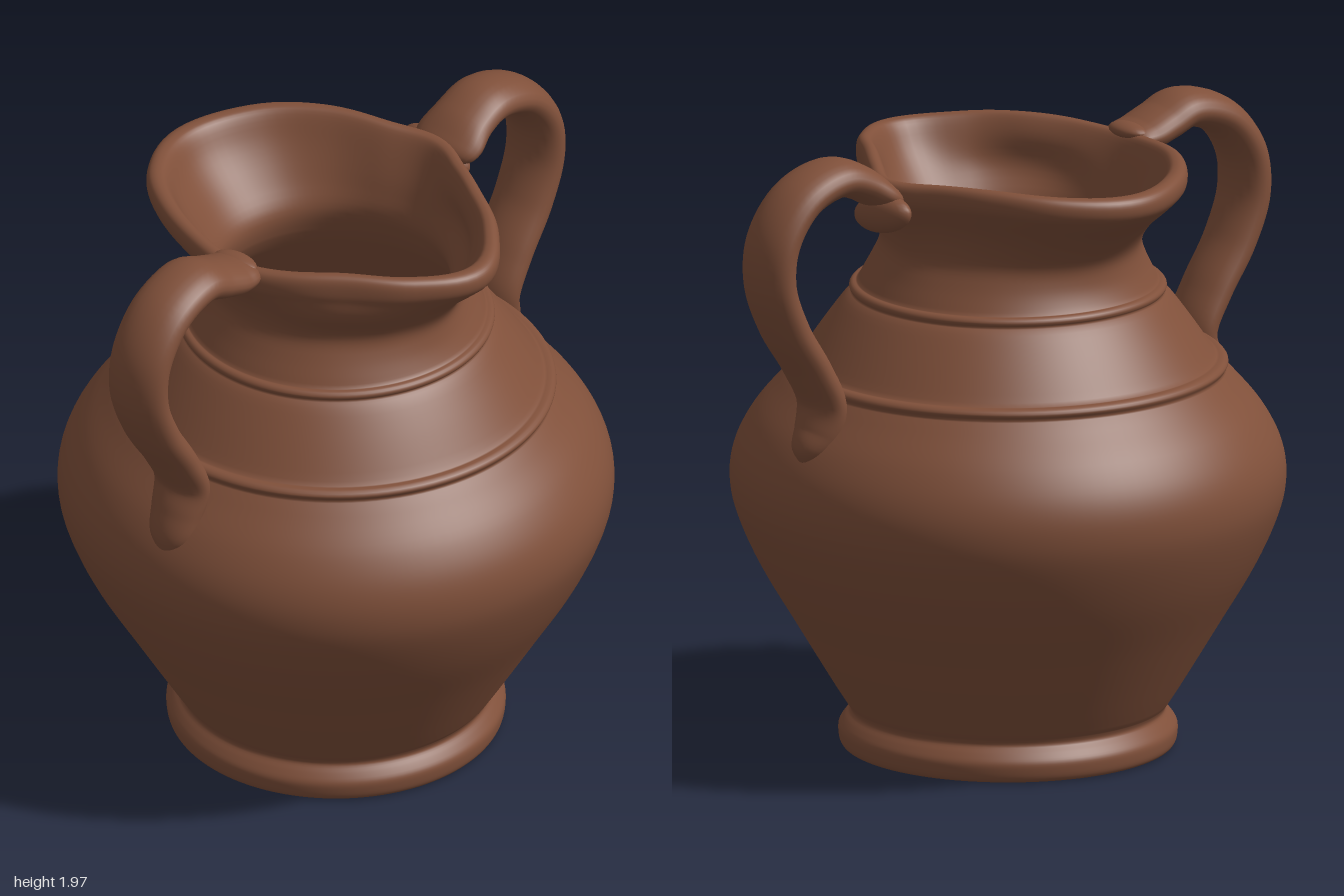
import * as THREE from 'three';
import { mergeVertices } from 'three/addons/utils/BufferGeometryUtils.js';

const clay = new THREE.MeshStandardMaterial({ color: 0x80503a });
clay.name = 'terracotta';

// Rim radius by angle, from +x turning towards +z, as a closed smooth curve
const rim = new THREE.CatmullRomCurve3(
  [.50, .45, .455, .53, .612, .55, .485, .48, .495, .505, .55, .615, .66, .615, .54, .49]
    .map(r => new THREE.Vector3(r, 0, 0)), true, 'catmullrom', .5);
const rimRadius = angle => rim.getPoint((angle / (2 * Math.PI) + 1) % 1).x;

function smoothCurve(points, count) {
  return new THREE.SplineCurve(points.map(([x, y]) => new THREE.Vector2(x, y))).getPoints(count);
}

function smooth(geo) {
  geo.deleteAttribute('uv');
  geo.deleteAttribute('normal');
  const merged = mergeVertices(geo, 1e-5);
  merged.computeVertexNormals();
  return merged;
}

// Hollow body: one closed profile, with the mouth pulled into two spouts
function makeBody() {
  const underside = smoothCurve([[0, .032], [.37, .032], [.41, .025], [.45, .012], [.5, .01],
    [.518, .022], [.524, .05], [.522, .075], [.505, .1], [.487, .122], [.493, .142]], 40);
  const belly = smoothCurve([[.5, .15], [.55, .23], [.658, .41], [.77, .6], [.84, .76], [.86, .87],
    [.843, .97], [.79, 1.07], [.71, 1.165], [.672, 1.207]], 48);
  const lowerBand = smoothCurve([[.676, 1.215], [.681, 1.228], [.668, 1.241], [.645, 1.243]], 8);
  const shoulder = smoothCurve([[.635, 1.255], [.57, 1.35], [.51, 1.43], [.483, 1.455]], 10);
  const upperBand = smoothCurve([[.488, 1.461], [.491, 1.472], [.482, 1.483], [.466, 1.486]], 8);
  const neck = smoothCurve([[.46, 1.497], [.43, 1.56], [.412, 1.62], [.427, 1.68], [.457, 1.735],
    [.5, 1.79], [.525, 1.825], [.53, 1.86], [.52, 1.884], [.497, 1.891], [.472, 1.875],
    [.435, 1.8], [.39, 1.7], [.362, 1.61], [.39, 1.52]], 64);
  const inside = smoothCurve([[.41, 1.48], [.59, 1.22], [.72, 1.03], [.78, .87], [.69, .6],
    [.55, .36], [.44, .2], [.31, .13], [0, .12]], 50);
  const geo = new THREE.LatheGeometry(
    [...underside, ...belly, ...lowerBand, ...shoulder, ...upperBand, ...neck, ...inside], 112);
  const p = geo.attributes.position;
  for (let i = 0; i < p.count; i++) {
    const x = p.getX(i), y = p.getY(i), z = p.getZ(i);
    const t = THREE.MathUtils.smoothstep(y, 1.5, 1.84);
    if (t === 0) continue;
    const angle = Math.atan2(z, x);
    // The front spout stays full below the lip on both cheeks
    const cheek = z > 0 ? .1 * Math.sin(2 * angle) ** 2 * Math.exp(-(((y - 1.73) / .07) ** 2)) : 0;
    const k = 1 + (rimRadius(angle) / .53 - 1) * t + cheek;
    p.setXYZ(i, x * k, y - .01 * Math.cos(4 * angle) * t, z * k);
  }
  return smooth(geo);
}

// Strap handle: flattened oval swept along a path; rows are x, y, half thickness, half width
function makeHandle(rows) {
  const path = new THREE.CatmullRomCurve3(rows.map(r => new THREE.Vector3(r[0], r[1], .005)));
  const size = new THREE.CatmullRomCurve3(rows.map(r => new THREE.Vector3(r[2], r[3], 0)),
    false, 'catmullrom', .5);
  const steps = 90, sides = 24, pos = [], index = [];
  for (let i = 0; i <= steps; i++) {
    const c = path.getPoint(i / steps), s = size.getPoint(i / steps), t = path.getTangent(i / steps);
    for (let j = 0; j <= sides; j++) {
      const a = j / sides * Math.PI * 2;
      const n = Math.cos(a) * Math.max(s.x, 0);
      pos.push(c.x - t.y * n, c.y + t.x * n, c.z + Math.sin(a) * Math.max(s.y, 0));
      if (i < steps && j < sides) {
        const q = i * (sides + 1) + j, r = q + sides + 1;
        index.push(q, q + 1, r, q + 1, r + 1, r);
      }
    }
  }
  const geo = new THREE.BufferGeometry();
  geo.setAttribute('position', new THREE.Float32BufferAttribute(pos, 3));
  geo.setIndex(index);
  return smooth(geo);
}

export function createModel() {
  const group = new THREE.Group();
  const add = (name, geo) => {
    const mesh = new THREE.Mesh(geo, clay);
    mesh.name = name;
    group.add(mesh);
    return mesh;
  };
  add('body', makeBody());

  // Both handles share the strap; their roots at the rim and feet on the shoulder differ
  const strap = [[.69, 1.922, .061, .108], [.83, 1.875, .061, .109], [.922, 1.755, .062, .109],
    [.936, 1.62, .062, .108], [.88, 1.47, .061, .106], [.79, 1.33, .058, .105],
    [.732, 1.21, .056, .104]];
  add('leftHandle', makeHandle([[.46, 1.81, 0, 0], [.49, 1.825, .035, .1], [.53, 1.85, .048, .125],
    [.595, 1.893, .056, .112], ...strap,
    [.75, 1.12, .06, .088], [.785, 1.06, .05, .06], [.8, 1.01, 0, 0]]));
  const rightStrap = strap.map(([x, y, a, b]) => [-x, y, a, b]);
  add('rightHandle', makeHandle([[-.44, 1.86, 0, 0], [-.465, 1.865, .035, .09],
    [-.525, 1.868, .052, .108], [-.6, 1.892, .058, .108], ...rightStrap,
    [-.755, 1.12, .06, .092], [-.79, 1.03, .05, .07], [-.815, .96, 0, 0]]));

  // Rolled end of the left handle, tucked under the rim
  const curl = add('leftHandleCurl', new THREE.SphereGeometry(1, 24, 16));
  curl.scale.set(.05, .06, .13);
  curl.position.set(.53, 1.79, -.045);
  curl.rotation.x = .2;

  // Pressed clay knob where the right handle meets the rim
  const knob = add('rightHandleKnob', new THREE.SphereGeometry(1, 24, 16));
  knob.scale.set(.045, .025, .08);
  knob.position.set(-.475, 1.885, 0);
  return group;
}
